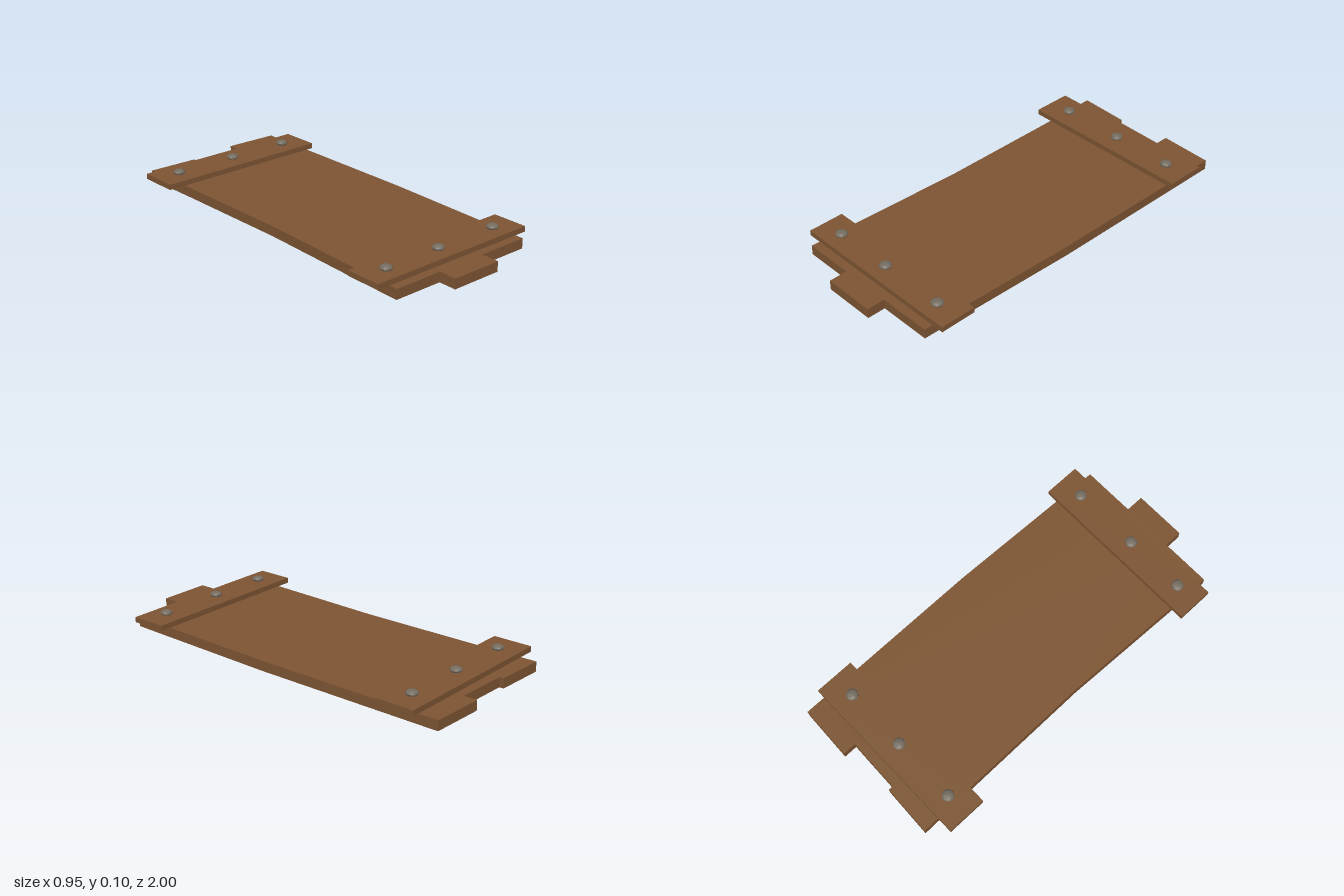
import * as THREE from 'three';

const BOARD_H = 0.052, STRAP_TOP = 0.08;

export function createModel() {
  const wood = new THREE.MeshStandardMaterial({ color: 0x7d5533, flatShading: true });
  wood.name = 'brown wood';
  const iron = new THREE.MeshStandardMaterial({ color: 0x746c60, flatShading: true });
  iron.name = 'grey iron';

  const model = new THREE.Group();
  model.name = 'plankBoard';
  const add = (name, geometry, material, x, y, z) => {
    const mesh = new THREE.Mesh(geometry, material);
    mesh.name = name;
    mesh.position.set(x, y, z);
    model.add(mesh);
    return mesh;
  };

  // Slightly bowed board with uneven plank ends, outlined as [x, z]
  const outline = [
    [-0.407, 0.905], [-0.143, 0.905], [-0.143, 1], [0.131, 1], [0.131, 0.905], [0.408, 0.905],
    [0.416, 0.67], [0.436, 0.03], [0.437, -0.99],
    [0.157, -1], [0.157, -0.93], [-0.122, -0.937], [-0.122, -0.96], [-0.387, -0.97],
    [-0.381, -0.6], [-0.377, 0.03], [-0.4, 0.67],
  ];
  const shape = new THREE.Shape(outline.map(([x, z]) => new THREE.Vector2(x, -z)));
  const board = new THREE.ExtrudeGeometry(shape, { depth: BOARD_H, bevelEnabled: false });
  board.rotateX(-Math.PI / 2);
  add('board', board, wood, 0, 0, 0);

  // Cross straps, each held by three nails
  const nailHead = new THREE.IcosahedronGeometry(0.031, 1);
  nailHead.scale(1, 0.52, 1);
  const straps = [
    { name: 'front', z0: 0.67, z1: 0.86, nailZ: 0.772, nails: [-0.344, -0.018, 0.343] },
    { name: 'back', z0: -0.885, z1: -0.677, nailZ: -0.78, nails: [-0.344, 0.003, 0.343] },
  ];
  for (const { name, z0, z1, nailZ, nails } of straps) {
    const geometry = new THREE.BoxGeometry(0.95, STRAP_TOP - BOARD_H, z1 - z0);
    add(name + 'Strap', geometry, wood, 0, (STRAP_TOP + BOARD_H) / 2, (z0 + z1) / 2);
    nails.forEach((x, i) => add(name + 'Nail' + (i + 1), nailHead, iron, x, STRAP_TOP + 0.008, nailZ));
  }
  return model;
}
